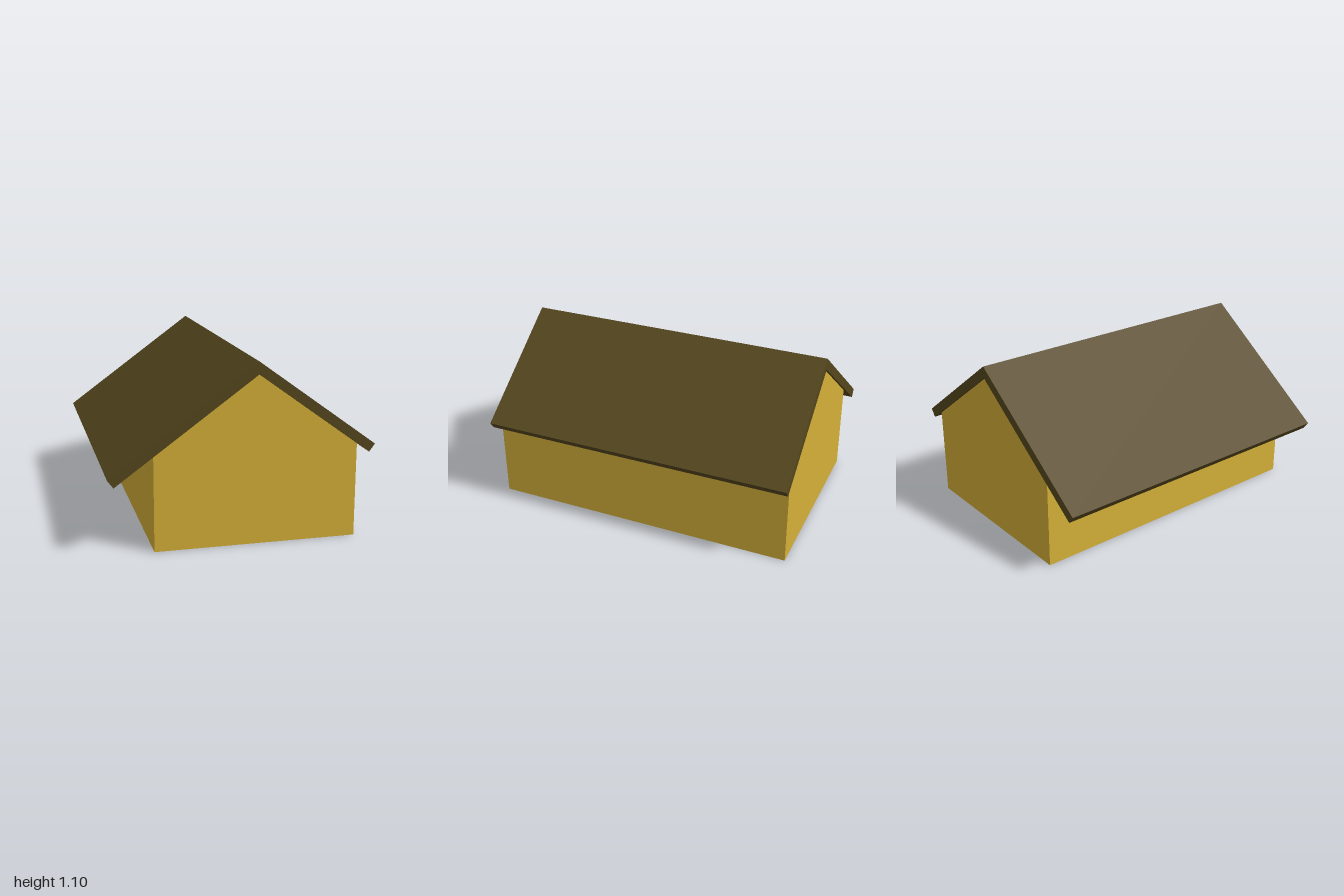
import * as THREE from 'three';

const RIDGE = 0.078;                 // x of the ridge
const LEFT = 0.693, RIGHT = -0.538;  // outer faces of the side walls
const DEPTH = 1.97, WALL = 0.055;    // building length, wall thickness
const SLOPE = 0.727;

// height of the roof's underside at x
const under = (x) => 1.025 - SLOPE * Math.abs(x - RIDGE);

// extrudes an outline in the xy plane from z0 over a depth
function prism(name, points, z0, depth, material) {
  const shape = new THREE.Shape(points.map(([x, y]) => new THREE.Vector2(x, y)));
  const geometry = new THREE.ExtrudeGeometry(shape, { depth, bevelEnabled: false });
  geometry.translate(0, 0, z0);
  const mesh = new THREE.Mesh(geometry, material);
  mesh.name = name;
  return mesh;
}

export function createModel() {
  const model = new THREE.Group();
  model.name = 'gabledHouse';
  const wallMaterial = new THREE.MeshStandardMaterial({ color: 0xd4af37 });
  const roofMaterial = new THREE.MeshStandardMaterial({ color: 0x54461c });
  const floorMaterial = new THREE.MeshStandardMaterial({ color: 0x444444 });

  // gable walls at front and back
  const gable = [[RIGHT, 0], [LEFT, 0], [LEFT, under(LEFT)], [RIDGE, under(RIDGE)], [RIGHT, under(RIGHT)]];
  model.add(prism('frontGable', gable, DEPTH / 2 - WALL, WALL, wallMaterial));
  model.add(prism('backGable', gable, -DEPTH / 2, WALL, wallMaterial));

  // side walls between the gables, tops cut to the roof slope
  const inner = DEPTH - 2 * WALL;
  for (const [name, a, b] of [['rightWall', RIGHT, RIGHT + WALL], ['leftWall', LEFT - WALL, LEFT]]) {
    model.add(prism(name, [[a, 0], [b, 0], [b, under(b)], [a, under(a)]], -inner / 2, inner, wallMaterial));
  }

  // floor slab inside the walls
  const floor = new THREE.Mesh(new THREE.BoxGeometry(LEFT - RIGHT - 2 * WALL, 0.04, inner), floorMaterial);
  floor.name = 'floor';
  floor.position.set((LEFT + RIGHT) / 2, 0.021, 0);
  model.add(floor);

  // two roof slabs meeting at the ridge, the right one longer
  const ridge = [[RIDGE, 1.1], [RIDGE, 1.025]];
  model.add(prism('rightRoof', [...ridge, [-0.77, 0.41], [-0.805, 0.457]], -1, 2, roofMaterial));
  model.add(prism('leftRoof', [...ridge, [0.767, 0.525], [0.802, 0.573]], -1, 2, roofMaterial));

  return model;
}
